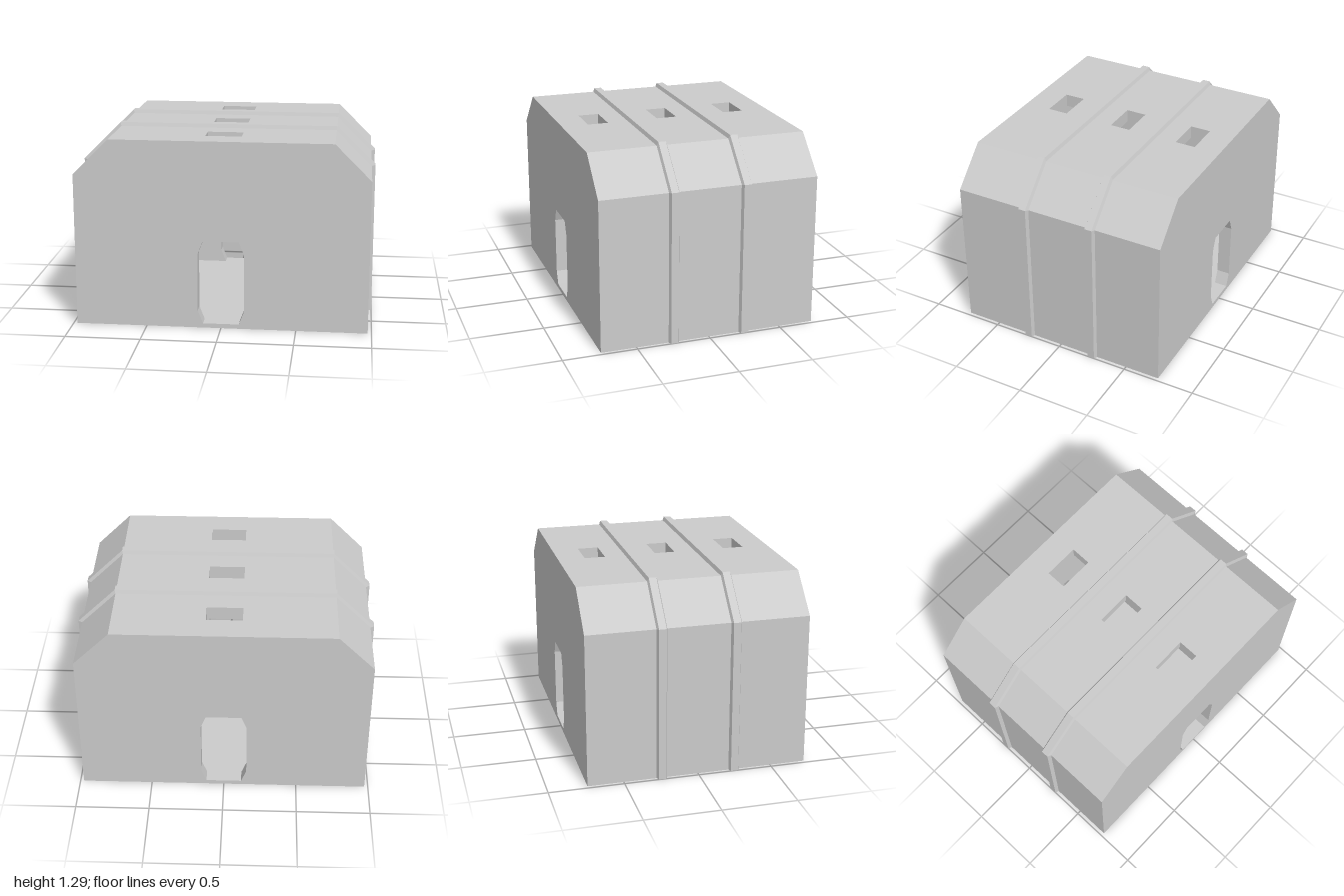
import * as THREE from 'three';

const material = new THREE.MeshStandardMaterial({ color: 0xcccccc, flatShading: true });
const WALL = 0.09, HALF_Z = 0.74, FLOOR = 0.03;
const INNER_Z = HALF_Z - WALL;

// Half profiles from foot to roof edge, mirrored into a full arch
const mirrorProfile = half => [...half, ...half.slice().reverse().map(([x, y]) => [-x, y])];
const bodyProfile = mirrorProfile([[0.975, 0], [0.975, 1.03], [0.735, 1.27]]);
const ribProfile = mirrorProfile([[1, 0], [1, 1.035], [0.74, 1.295]]);

const points = list => list.map(([x, y]) => new THREE.Vector2(x, y));
const rectangle = (x, y, cx = 0, cy = 0) =>
  [[cx - x, cy - y], [cx + x, cy - y], [cx + x, cy + y], [cx - x, cy + y]];

function extrude(outline, depth, holes = []) {
  const shape = new THREE.Shape(points(outline));
  holes.forEach(h => shape.holes.push(new THREE.Path(points(h))));
  return new THREE.ExtrudeGeometry(shape, { depth, bevelEnabled: false });
}

// Band over the body with chamfered outer edges
function ribGeometry() {
  const position = [], index = [];
  bodyProfile.forEach(([bx, by], i) => {
    const [tx, ty] = ribProfile[i];
    position.push(bx, by, -0.035, tx, ty, -0.025, tx, ty, 0.025, bx, by, 0.035);
  });
  const last = (bodyProfile.length - 1) * 4;
  for (let i = 0; i < last; i += 4) {
    for (let j = 0; j < 3; j++) {
      const a = i + j, b = a + 4;
      index.push(a, b, b + 1, a, b + 1, a + 1);
    }
  }
  // Feet
  index.push(0, 1, 2, 0, 2, 3, last, last + 2, last + 1, last, last + 3, last + 2);
  const g = new THREE.BufferGeometry();
  g.setAttribute('position', new THREE.Float32BufferAttribute(position, 3));
  g.setIndex(index);
  const flat = g.toNonIndexed();
  flat.computeVertexNormals();
  return flat;
}

export function createModel() {
  const model = new THREE.Group();
  const add = (name, geometry, x = 0, y = 0, z = 0) => {
    const mesh = new THREE.Mesh(geometry, material);
    mesh.name = name;
    mesh.position.set(x, y, z);
    model.add(mesh);
    return mesh;
  };

  // End walls with eight-sided doorways
  const doorway = [[0.12, 0.03], [0.155, 0.12], [0.155, 0.51], [0.12, 0.6],
    [-0.12, 0.6], [-0.155, 0.51], [-0.155, 0.12], [-0.12, 0.03]];
  const endWall = extrude(bodyProfile, WALL, [doorway]);
  add('frontWall', endWall, 0, 0, INNER_Z);
  add('backWall', endWall, 0, 0, -HALF_Z);

  // Side walls, each with its sloping eave
  const section = [[0.975, 0], [0.975, 1.03], [0.735, 1.27], [0.7, 1.27],
    [0.7, 1.18], [0.885, 0.995], [0.885, 0]];
  for (const [name, s] of [['leftWall', 1], ['rightWall', -1]]) {
    add(name, extrude(section.map(([x, y]) => [x * s, y]), INNER_Z * 2), 0, 0, -INNER_Z);
  }

  // Flat roof with three hatches
  const hatches = [-0.49, 0, 0.49].map(z => rectangle(0.12, 0.07, 0, z));
  const roof = extrude(rectangle(0.7, INNER_Z), WALL, hatches).rotateX(-Math.PI / 2);
  add('roof', roof, 0, 1.18, 0);

  // Floor and inner partition
  add('floor', new THREE.BoxGeometry(1.77, FLOOR, INNER_Z * 2), 0, FLOOR / 2, 0);
  add('partition', new THREE.BoxGeometry(0.06, 1.15, INNER_Z * 2), 0.48, 0.605, 0);

  // Two ribs around the outside
  const rib = ribGeometry();
  for (const z of [-0.245, 0.245]) add('rib', rib, 0, 0, z);

  return model;
}
